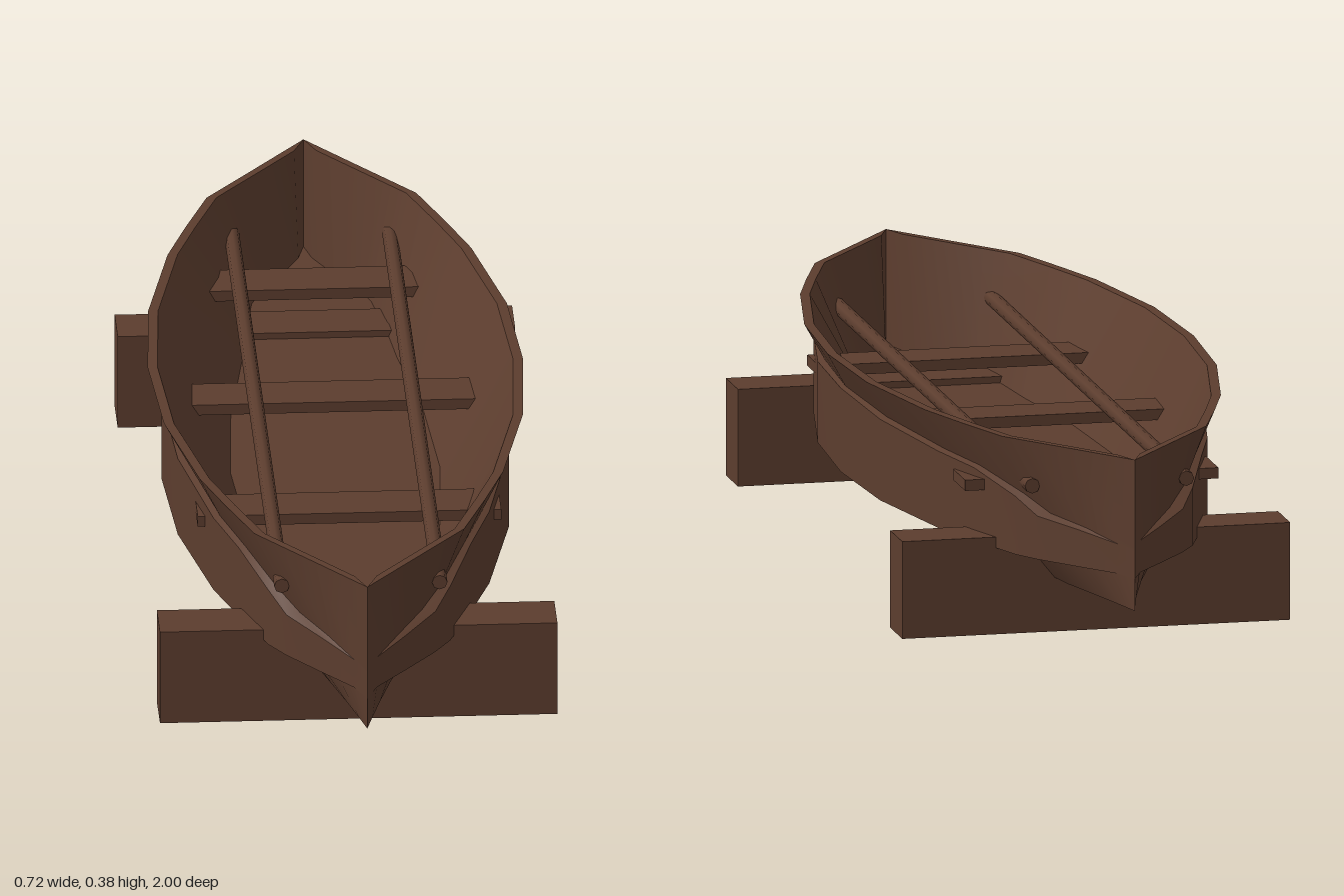
import * as THREE from 'three';
import { toCreasedNormals } from 'three/addons/utils/BufferGeometryUtils.js';

const wood = new THREE.MeshStandardMaterial({ color: 0x5c3d2e });
wood.name = 'dark wood';

// Half-hull stations from midship to the tip:
// z, bottom, chine, side plank, side plank top y, rim, floor
const stations = [
  [0, 0.15, 0.22, 0.315, 0.315, 0.34, 0.19],
  [0.25, 0.14, 0.2, 0.3, 0.31, 0.325, 0.175],
  [0.5, 0.11, 0.165, 0.25, 0.302, 0.275, 0.14],
  [0.62, 0.09, 0.138, 0.211, 0.295, 0.236, 0.128],
  [0.75, 0.066, 0.105, 0.165, 0.268, 0.19, 0.108],
  [0.8, 0.052, 0.085, 0.135, 0.24, 0.152, 0.09],
  [0.88, 0.03, 0.05, 0.075, 0.228, 0.091, 0.045],
  [0.95, 0.012, 0.02, 0.021, 0.215, 0.038, 0.012],
  [1, 0, 0, 0, 0.21, 0, 0],
];
const KEEL_Y = 0.1, CHINE_Y = 0.16, FLOOR_Y = 0.168, RIM_Y = 0.38;

// Closed cross-section: outer skin with overlapping planks, rim, inner skin
function section([z, bottom, chine, plank, plankTop, rim, floor], side) {
  const inset = THREE.MathUtils.lerp(chine, rim, (plankTop + 0.004 - CHINE_Y) / (RIM_Y - CHINE_Y));
  const half = [
    [bottom, KEEL_Y], [chine, CHINE_Y], [plank, CHINE_Y], [plank, plankTop],
    [Math.min(inset, plank), plankTop + 0.004], [rim, RIM_Y],
    [Math.max(rim - 0.018, 0), RIM_Y], [floor, FLOOR_Y],
  ];
  const mirrored = half.map(([x, y]) => [-x, y]).reverse();
  return [...half, ...mirrored].map(([x, y]) => [x, y, z * side]);
}

function hullGeometry() {
  const rings = [
    ...stations.slice(1).reverse().map((s) => section(s, -1)),
    ...stations.map((s) => section(s, 1)),
  ];
  const n = rings[0].length;
  const index = [];
  for (let i = 0; i < rings.length - 1; i++) {
    for (let j = 0; j < n; j++) {
      const a = i * n + j, b = i * n + (j + 1) % n;
      index.push(a, b, b + n, a, b + n, a + n);
    }
  }
  const geometry = new THREE.BufferGeometry();
  geometry.setAttribute('position', new THREE.Float32BufferAttribute(rings.flat(2), 3));
  geometry.setIndex(index);
  return toCreasedNormals(geometry, 0.5);
}

export function createModel() {
  const boat = new THREE.Group();
  boat.name = 'rowingBoat';

  const add = (name, geometry, x, y, z) => {
    const mesh = new THREE.Mesh(geometry, wood);
    mesh.name = name;
    mesh.position.set(x, y, z);
    boat.add(mesh);
    return mesh;
  };

  add('hull', hullGeometry(), 0, 0, 0);

  // Bench seats across the hull
  for (const [name, halfWidth, z] of [
    ['frontSeat', 0.275, 0.395], ['middleSeat', 0.3, -0.1], ['backSeat', 0.235, -0.605],
  ]) add(name, new THREE.BoxGeometry(halfWidth * 2, 0.02, 0.095), 0, 0.27, z);

  // Poles resting lengthwise on the seats
  for (const [name, x] of [['leftPole', 0.143], ['rightPole', -0.143]]) {
    const geometry = new THREE.CylinderGeometry(0.014, 0.014, 1.59, 8).rotateX(Math.PI / 2);
    add(name, geometry, x, 0.295, 0);
  }

  // Support blocks under the hull
  for (const [name, z] of [['frontBlock', 0.68], ['backBlock', -0.64]]) {
    add(name, new THREE.BoxGeometry(0.72, 0.18, 0.098), 0, 0.09, z);
  }
  return boat;
}
